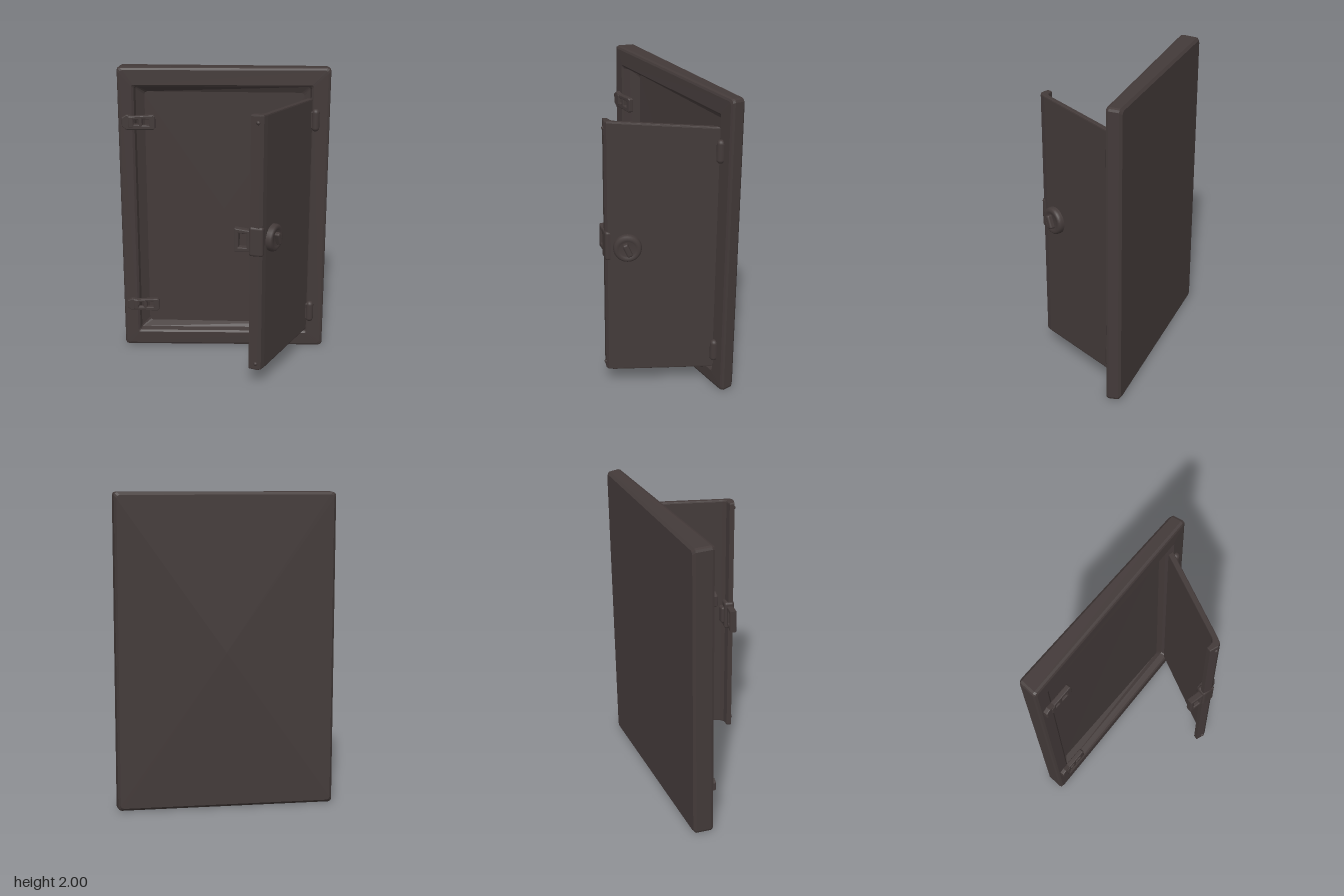
import * as THREE from 'three';
import { RoundedBoxGeometry } from 'three/addons/geometries/RoundedBoxGeometry.js';

const iron = new THREE.MeshStandardMaterial({ color: 0x433a39 });
iron.name = 'dark iron';

function part(name, geometry, x = 0, y = 0, z = 0) {
  const mesh = new THREE.Mesh(geometry, iron);
  mesh.name = name;
  mesh.position.set(x, y, z);
  return mesh;
}

const polygon = (points) => new THREE.Shape(points.map(([x, y]) => new THREE.Vector2(x, y)));

// plate with rectangular holes given as [x0, y0, x1, y1]
function plate(points, holes, depth, bevel = 0.008) {
  const shape = polygon(points);
  for (const [x0, y0, x1, y1] of holes) {
    shape.holes.push(new THREE.Path([[x0, y0], [x0, y1], [x1, y1], [x1, y0]].map(([x, y]) => new THREE.Vector2(x, y))));
  }
  return new THREE.ExtrudeGeometry(shape, {
    depth: depth - 2 * bevel, bevelEnabled: true, bevelSize: bevel, bevelThickness: bevel,
    bevelOffset: -bevel, bevelSegments: 2,
  }).translate(0, 0, bevel);
}

// rectangle loop with chamfered corners, anticlockwise as seen from the front
function rectLoop([x0, x1, y0, y1, c, z]) {
  const k = c * 0.3;
  return [
    [x0, y0 + c], [x0 + k, y0 + k], [x0 + c, y0],
    [x1 - c, y0], [x1 - k, y0 + k], [x1, y0 + c],
    [x1, y1 - c], [x1 - k, y1 - k], [x1 - c, y1],
    [x0 + c, y1], [x0 + k, y1 - k], [x0, y1 - c],
  ].map(([x, y]) => [x, y, z]);
}

// casing: loops run from the back, round the rim, down into the recess
function casingGeometry() {
  const loops = [
    [0, 0, 1, 1, 0, -0.36],
    [-0.675, 0.675, 0.02, 1.98, 0.02, -0.36],
    [-0.69, 0.69, 0.004, 1.996, 0.02, -0.345],
    [-0.698, 0.698, 0, 2, 0.02, -0.245],
    [-0.694, 0.694, 0.005, 1.995, 0.02, -0.23],
    [-0.68, 0.68, 0.018, 1.982, 0.02, -0.224],
    [-0.605, 0.588, 0.1, 1.885, 0.012, -0.224],
    [-0.59, 0.575, 0.112, 1.872, 0.012, -0.234],
    [-0.582, 0.568, 0.12, 1.864, 0.012, -0.275],
    [-0.53, 0.53, 0.15, 1.82, 0.02, -0.325],
    [0, 0, 1, 1, 0, -0.33],
  ].map(rectLoop);
  // the front leans back toward the hinge side
  for (const loop of loops) for (const p of loop) {
    if (p[2] > -0.29) p[2] -= 0.038 * Math.max(0, Math.min(1, (p[0] - 0.15) / 0.5));
  }
  const positions = [];
  for (let j = 0; j < loops.length - 1; j++) {
    const a = loops[j], b = loops[j + 1], n = a.length;
    for (let i = 0; i < n; i++) {
      const k = (i + 1) % n;
      if (j > 0) positions.push(...a[i], ...a[k], ...b[k]);
      if (j < loops.length - 2) positions.push(...a[i], ...b[k], ...b[i]);
      if (j === 0) positions.push(...a[i], ...b[k], ...b[i]);
    }
  }
  const g = new THREE.BufferGeometry();
  g.setAttribute('position', new THREE.Float32BufferAttribute(positions, 3));
  g.computeVertexNormals();
  return g;
}

// open door: plan outline extruded upward, slightly taller at the free edge
function doorGeometry() {
  const plan = [
    [0.545, -0.265], [0.582, -0.26], [0.292, 0.31], [0.27, 0.343],
    [0.245, 0.35], [0.19, 0.33], [0.2, 0.3], [0.25, 0.3], [0.27, 0.28],
  ].map(([x, z]) => [x, -z]).reverse();
  const g = plate(plan, [], 1, 0.006).rotateX(-Math.PI / 2);
  const p = g.attributes.position;
  for (let i = 0; i < p.count; i++) {
    const t = (p.getZ(i) + 0.26) / 0.6;
    const bottom = 0.132 - 0.012 * t, top = 1.798 + 0.042 * t;
    p.setY(i, bottom + (top - bottom) * p.getY(i));
  }
  g.computeVertexNormals();
  return g;
}

// round lock with a raised rim, a dome and a turning grip, facing +z
function lockKnob() {
  const group = new THREE.Group();
  group.name = 'lockKnob';
  const profile = [[0, 0.03], [0.05, 0.03], [0.057, 0.036], [0.075, 0.038], [0.086, 0.03], [0.09, 0.015], [0.09, -0.02]]
    .map(([r, y]) => new THREE.Vector2(r, y)).reverse();
  group.add(part('lockPlate', new THREE.LatheGeometry(profile, 28).rotateX(Math.PI / 2)));
  const grip = part('lockGrip', new RoundedBoxGeometry(0.035, 0.09, 0.04, 3, 0.012), 0, 0, 0.043);
  grip.rotation.z = 0.4;
  group.add(grip);
  return group;
}

export function createModel() {
  const model = new THREE.Group();
  model.name = 'wallSafe';
  model.add(part('casing', casingGeometry()));
  model.add(part('door', doorGeometry()));

  // lock on the outer door face
  const knob = lockKnob();
  knob.position.set(0.331, 1.015, 0.235);
  knob.rotation.y = 1.1;
  model.add(knob);

  // latch loop and its collar on the free edge
  const loop = part('latchLoop', plate([[0, -0.08], [0.12, -0.07], [0.12, 0.07], [0, 0.08]],
    [[0.028, -0.045, 0.078, 0.045]], 0.045), 0.1, 1.02, 0.267);
  loop.rotation.y = -0.22;
  model.add(loop);
  const collar = part('latchCollar', new RoundedBoxGeometry(0.095, 0.2, 0.07, 3, 0.018), 0.235, 1.02, 0.315);
  collar.rotation.y = -0.22;
  model.add(collar);
  model.add(part('latchBrace', new RoundedBoxGeometry(0.06, 0.12, 0.05, 3, 0.015), 0.24, 1.02, 0.282));

  // catches on the left rail
  for (const [y, s] of [[1.64, 1], [0.325, 0.9]]) {
    const outline = [[-0.67, -0.03], [-0.64, -0.052], [-0.46, -0.05], [-0.45, -0.04],
      [-0.45, 0.04], [-0.46, 0.05], [-0.6, 0.04], [-0.64, 0.05], [-0.67, 0.03]].map(([x, v]) => [x, v * s]);
    model.add(part('catch', plate(outline, [[-0.59, -0.016, -0.56, 0.016], [-0.535, -0.02, -0.49, 0.02]], 0.034, 0.006), 0, y, -0.23));
    model.add(part('catchRib', new RoundedBoxGeometry(0.03, 0.07 * s, 0.012, 2, 0.005), -0.612, y, -0.197));
  }

  // hinge knuckles on the right rail, rivets on the free edge
  for (const y of [1.655, 0.275]) {
    model.add(part('hinge', new THREE.CapsuleGeometry(0.026, 0.1, 6, 16), 0.604, y, -0.253));
    model.add(part('hingeLeaf', new RoundedBoxGeometry(0.06, 0.12, 0.025, 2, 0.01), 0.6, y, -0.255));
  }
  for (const y of [1.79, 0.165]) {
    model.add(part('rivet', new THREE.SphereGeometry(0.014, 14, 10), 0.235, y, 0.343));
  }
  return model;
}
